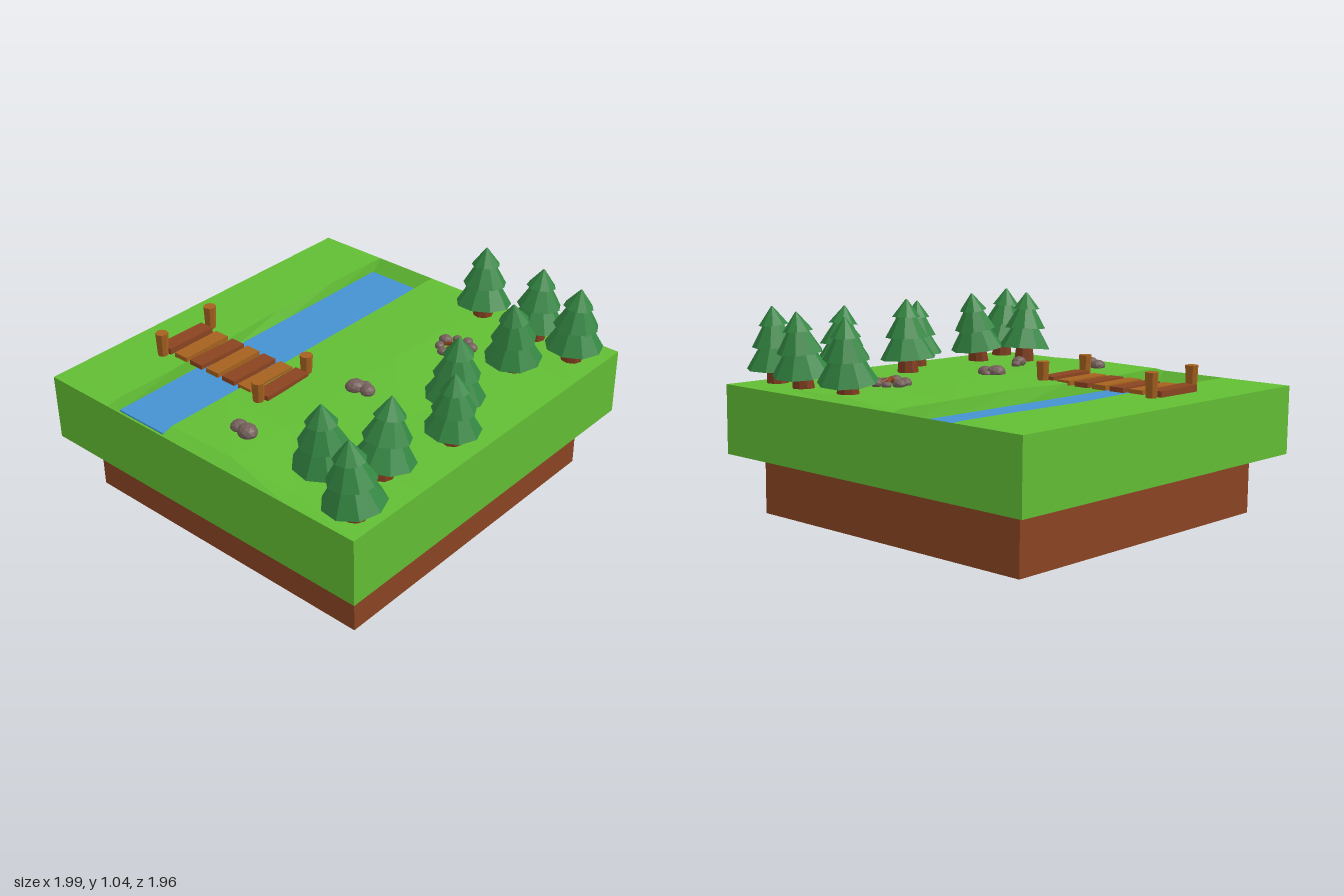
import * as THREE from 'three';

const mat = (name, color) => {
  const m = new THREE.MeshStandardMaterial({ color });
  m.name = name;
  return m;
};

// Flat facets: split the shared corners and recompute the normals
function flat(geo) {
  const g = geo.index ? geo.toNonIndexed() : geo;
  g.computeVertexNormals();
  return g;
}

function add(parent, name, geo, material, x = 0, y = 0, z = 0) {
  const mesh = new THREE.Mesh(flat(geo), material);
  mesh.name = name;
  mesh.position.set(x, y, z);
  parent.add(mesh);
  return mesh;
}

const TILT = 0.016;
const groundY = (x) => 0.655 + TILT * x;

export function createModel() {
  const root = new THREE.Group();
  root.name = 'forestIsland';

  const grass = mat('grass', 0x62be34);
  const soil = mat('soil', 0x8b4523);
  const water = mat('water', 0x4592d2);
  const leaf = mat('leaf', 0x338642);
  const bark = mat('bark', 0x7f3d1e);
  const darkWood = mat('darkWood', 0x8b4420);
  const lightWood = mat('lightWood', 0xa5611f);
  const stone = mat('stone', 0x75605a);

  // Island base, slightly tilted
  const island = new THREE.Group();
  island.name = 'island';
  island.rotation.z = TILT;
  island.position.x = 0.008;
  root.add(island);
  add(island, 'soilBase', new THREE.BoxGeometry(1.7, 0.31, 1.675), soil, 0, 0.169, -0.017);

  // Grass slab: a box whose top grid is moved into a river bed and low mounds
  const xs = [-0.985, -0.915, -0.55, -0.2, 0.19, 0.6, 0.915, 0.985];
  const zs = [-0.985, -0.605, -0.59, -0.23, -0.218, 0.17, 0.55, 0.94];
  const wiggle = [0, 0.003, 0.009, 0.004, -0.01, 0, 0.008, 0.01];
  const mound = [0, 0.004, 0, 0, 0.018, 0.024, 0.008, 0];
  const slab = new THREE.BoxGeometry(7, 1, 7, 7, 1, 7);
  const p = slab.attributes.position;
  for (let k = 0; k < p.count; k++) {
    const i = Math.round(p.getX(k) + 3.5);
    const j = Math.round(p.getZ(k) + 3.5);
    const top = p.getY(k) > 0;
    const inside = i > 0 && i < 7;
    const bed = inside && (j === 2 || j === 3);
    const bank = j === 1 ? wiggle[i] : j === 4 ? wiggle[i] * -0.5 : 0;
    const vary = 0.75 + 0.25 * Math.cos(i * 2.1 + j);
    const y = !top ? 0.312 : bed ? 0.59 : 0.655 + (inside ? mound[j] * vary : 0);
    p.setXYZ(k, xs[i], y, zs[j] + (top ? bank : 0));
  }
  add(island, 'grassSlab', slab, grass);
  add(island, 'river', new THREE.BoxGeometry(1.83, 0.008, 0.36), water, 0, 0.597, -0.41);

  // Pine trees: x, z, scale, lean of the tip in x and z
  const tiers = [[0.145, 0.062, 0.075, 0.135], [0.112, 0.042, 0.185, 0.12], [0.074, 0.004, 0.29, 0.09]];
  const trees = [
    [-0.855, 0.83, 1, -0.02, -0.02], [-0.725, 0.54, 1, -0.03, 0.01],
    [-0.56, 0.73, 1, 0.055, 0], [-0.16, 0.8, 0.92, 0, 0],
    [0.06, 0.64, 1, 0, 0.01], [0.52, 0.64, 0.98, -0.045, 0.01],
    [0.835, 0.22, 0.98, 0.03, -0.02], [0.825, 0.55, 0.98, 0.035, 0],
    [0.78, 0.8, 0.99, 0.015, 0.01],
  ];
  trees.forEach(([x, z, s, dx, dz], n) => {
    const tree = new THREE.Group();
    tree.name = `pineTree${n + 1}`;
    tree.position.set(x, groundY(x), z);
    tree.scale.setScalar(s);
    tree.rotation.set(dz / 0.38, n * 0.7, -dx / 0.38, 'XZY');
    add(tree, 'trunk', new THREE.CylinderGeometry(0.045, 0.057, 0.11, 9), bark, 0, 0.045, 0);
    tiers.forEach(([rb, rt, y, h], t) => {
      const tier = add(tree, 'foliageTier', new THREE.CylinderGeometry(rt, rb, h, 9), leaf, 0, y + h / 2, 0);
      tier.rotation.set(0.02 * (t - 1), t * 0.15, 0.03 * (1 - t));
    });
    root.add(tree);
  });

  // Plank bridge with a post at each corner
  const bridge = new THREE.Group();
  bridge.name = 'bridge';
  root.add(bridge);
  for (let i = 0; i < 7; i++) {
    const end = i === 0 || i === 6;
    const plank = add(bridge, 'plank', new THREE.BoxGeometry(0.285, end ? 0.04 : 0.024, 0.082),
      i % 2 ? lightWood : darkWood, -0.337, 0.663, -0.747 + i * 0.1105);
    plank.rotation.y = 0.02 * Math.sin(i * 2.3);
  }
  [[-0.5, -0.74, 0.125], [-0.16, -0.757, 0.13], [-0.5, -0.08, 0.115], [-0.172, -0.08, 0.115]].forEach(([x, z, h]) =>
    add(bridge, 'post', new THREE.CylinderGeometry(0.032, 0.026, h, 8), lightWood, x, 0.645 + h / 2, z));

  // Loose rocks: x, z, radius
  const rock = (parent, x, z, r, n) => {
    const lump = add(parent, 'rock', new THREE.IcosahedronGeometry(r, 1), stone, x, groundY(x) + 0.012 + r * 0.35, z);
    lump.scale.set(1, 0.72, 0.9);
    lump.rotation.y = n * 1.3;
  };
  const rocks = new THREE.Group();
  rocks.name = 'rocks';
  root.add(rocks);
  [[-0.727, 0.02, 0.043], [-0.738, 0.085, 0.053], [-0.135, 0.2, 0.05], [-0.122, 0.265, 0.042],
    [-0.085, 0.222, 0.027], [-0.54, 0.412, 0.042], [-0.485, 0.385, 0.026]]
    .forEach(([x, z, r], n) => rock(rocks, x, z, r, n));

  // Campfire: ring of stones around leaning logs
  const fire = new THREE.Group();
  fire.name = 'campfire';
  root.add(fire);
  for (let i = 0; i < 8; i++) {
    const a = i * Math.PI / 4 + 0.25;
    rock(fire, 0.47 + 0.078 * Math.cos(a), 0.325 + 0.078 * Math.sin(a), 0.03 + 0.006 * Math.sin(i * 2.4), i);
  }
  for (let i = 0; i < 6; i++) {
    const a = i * Math.PI / 3 + 0.4;
    const log = add(fire, 'fireLog', new THREE.CylinderGeometry(0.008, 0.01, 0.085, 6), darkWood,
      0.47 + 0.035 * Math.cos(a), groundY(0.47) + 0.03, 0.33 + 0.035 * Math.sin(a));
    log.rotation.set(0, -a, 1.2, 'YXZ');
  }

  return root;
}
